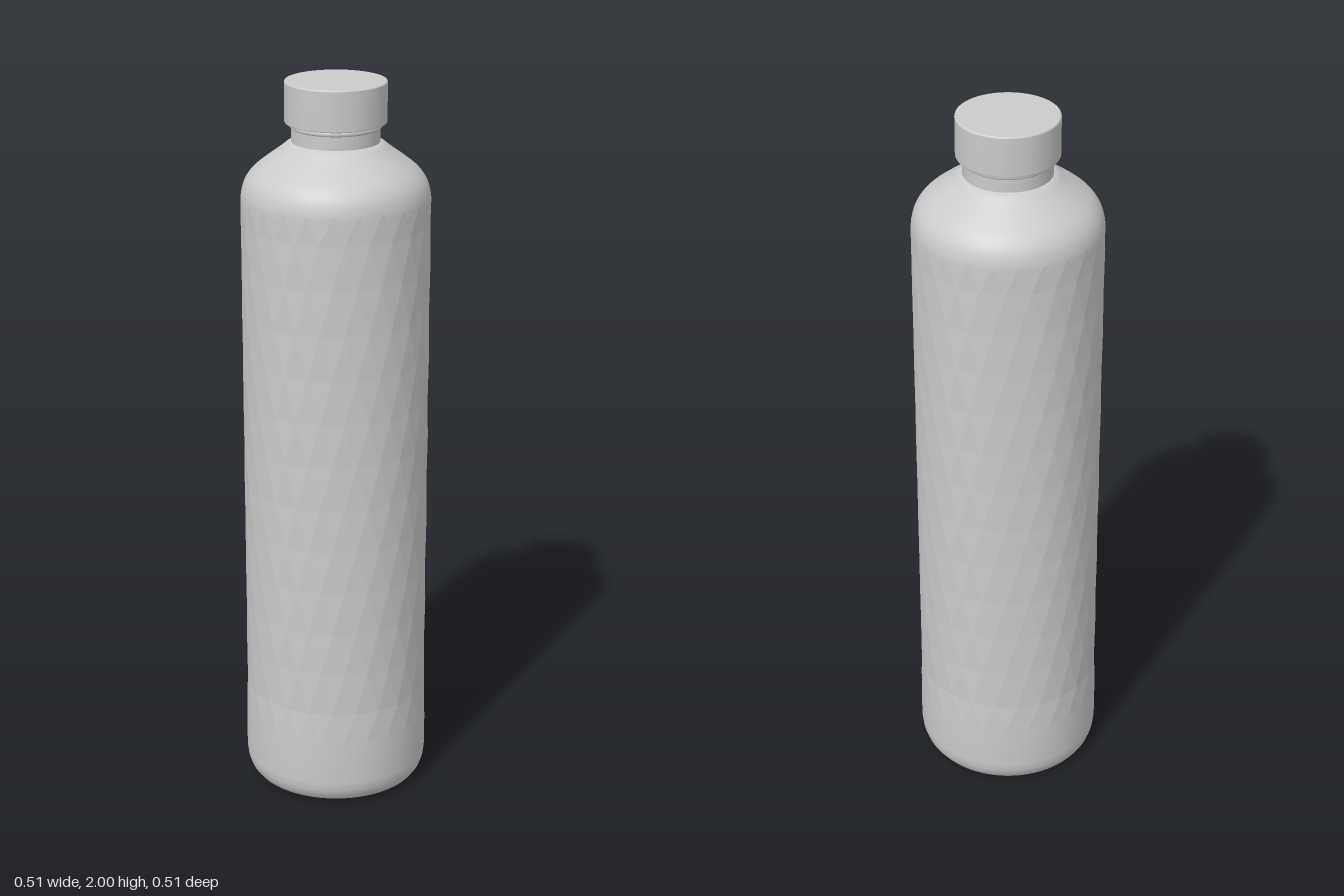
import * as THREE from 'three';

const grey = new THREE.MeshStandardMaterial({ color: 0xcccccc, side: THREE.DoubleSide });
const faceted = new THREE.MeshStandardMaterial({ color: 0xcccccc, flatShading: true });

// Smooth surface of revolution from [radius, height] pairs
function turned(name, profile) {
  const points = profile.map(([r, y]) => new THREE.Vector2(r, y));
  const mesh = new THREE.Mesh(new THREE.LatheGeometry(points, 96), grey);
  mesh.name = name;
  return mesh;
}

// Rings of points, each turned half a step from the last, joined by triangles
function diamondWall(rings, sides) {
  const positions = [], index = [];
  rings.forEach(([radius, y], row) => {
    for (let i = 0; i < sides; i++) {
      const a = ((i + (row % 2) / 2) / sides) * Math.PI * 2;
      positions.push(radius * Math.sin(a), y, radius * Math.cos(a));
    }
  });
  for (let row = 0; row < rings.length - 1; row++) {
    const low = row * sides, high = low + sides, odd = row % 2;
    for (let i = 0; i < sides; i++) {
      const j = (i + 1) % sides;
      if (odd) index.push(low + i, low + j, high + j, low + i, high + j, high + i);
      else index.push(low + i, low + j, high + i, low + j, high + j, high + i);
    }
  }
  const geometry = new THREE.BufferGeometry();
  geometry.setAttribute('position', new THREE.Float32BufferAttribute(positions, 3));
  geometry.setIndex(index);
  geometry.computeVertexNormals();
  return geometry;
}

export function createModel() {
  const group = new THREE.Group();
  group.name = 'bottle';

  // Rounded foot
  group.add(turned('base', [
    [0, 0.008], [0.19, 0.006], [0.205, 0], [0.22, 0.002], [0.234, 0.01], [0.245, 0.025],
    [0.252, 0.045], [0.255, 0.07], [0.255, 0.15], [0.254, 0.2],
  ]));

  // Faceted wall with a shallow diamond pattern
  const rings = [[0.255, 0.198]];
  for (let i = 0; i <= 11; i++) rings.push([0.2525, 0.28 + i * 0.122]);
  rings.push([0.2525, 1.695]);
  const wall = new THREE.Mesh(diamondWall(rings, 24), faceted);
  wall.name = 'facetedWall';
  group.add(wall);

  // Shoulder curving in to the neck
  const curve = new THREE.SplineCurve([
    [0.252, 1.68], [0.25, 1.705], [0.241, 1.735], [0.221, 1.763],
    [0.188, 1.79], [0.15, 1.818], [0.13, 1.834], [0.117, 1.84],
  ].map(([x, y]) => new THREE.Vector2(x, y)));
  group.add(turned('shoulder', curve.getPoints(28).map((p) => [p.x, p.y])));

  // Neck and the thin ring under the cap
  group.add(turned('neck', [[0.117, 1.838], [0.117, 1.876]]));
  group.add(turned('neckRing', [
    [0.112, 1.876], [0.118, 1.876], [0.121, 1.879], [0.121, 1.885], [0.118, 1.888], [0.112, 1.888],
  ]));

  // Cap: underside, side and top with a fine bevel
  group.add(turned('capUnderside', [[0, 1.89], [0.133, 1.89]]));
  group.add(turned('capSide', [[0.133, 1.89], [0.135, 1.893], [0.135, 1.996]]));
  group.add(turned('capBevel', [[0.135, 1.996], [0.134, 1.999], [0.131, 2]]));
  group.add(turned('capTop', [[0.131, 2], [0, 2]]));

  return group;
}
